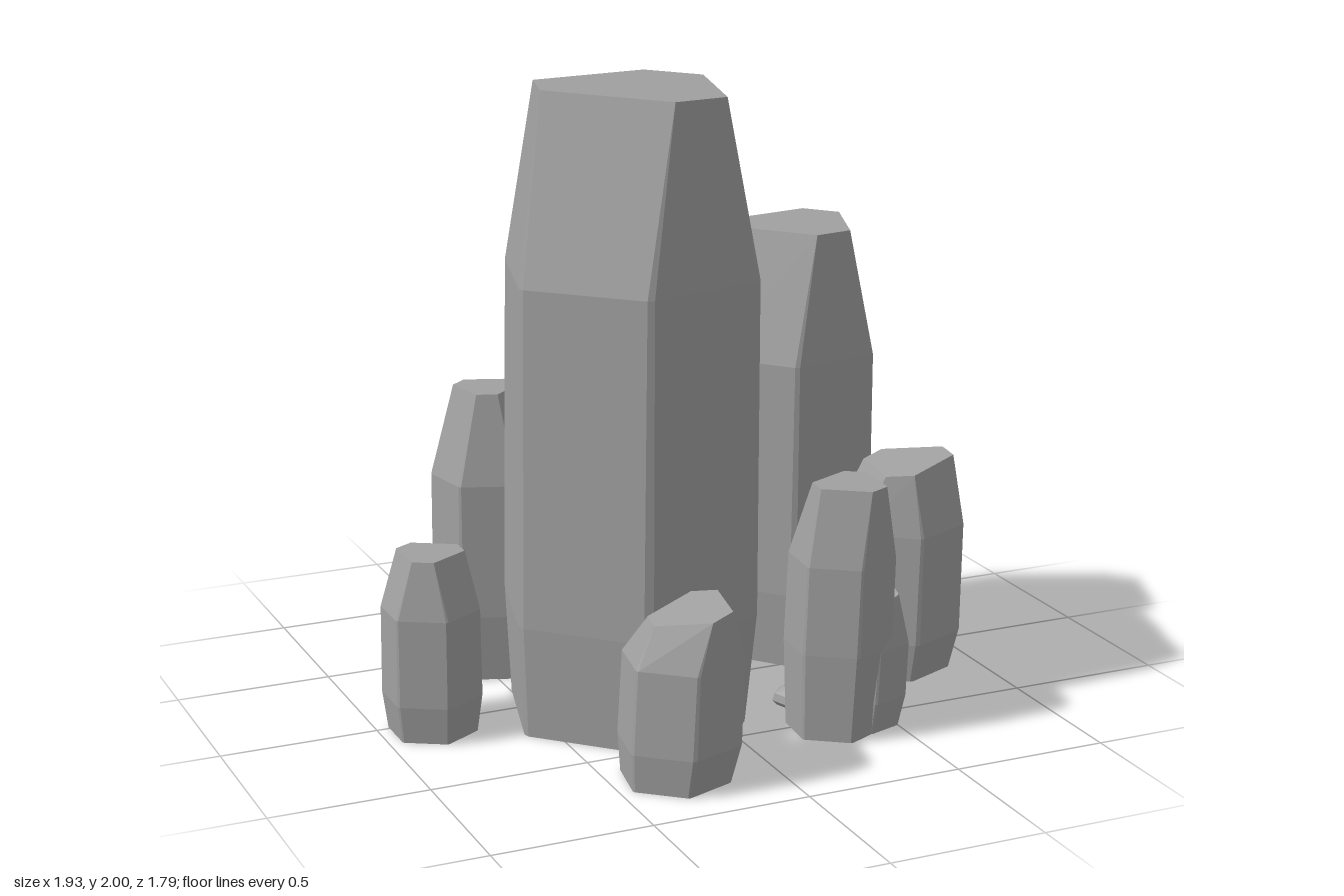
import * as THREE from 'three';

const stone = new THREE.MeshStandardMaterial({ color: 0xa0a0a0 });
stone.name = 'grey stone';

// Cuts every corner of a ring into two points, for narrow bevelled edges
function bevel(ring, amount) {
  const n = ring.length;
  return ring.flatMap((p, i) => [
    p.clone().lerp(ring[(i + n - 1) % n], amount),
    p.clone().lerp(ring[(i + 1) % n], amount),
  ]);
}

// Skins a stack of rings and closes both ends, with flat faces
function skin(rings) {
  const pos = [];
  const tri = (a, b, c) => {
    const area = b.clone().sub(a).cross(c.clone().sub(a)).length();
    if (area > 1e-8) pos.push(...a.toArray(), ...b.toArray(), ...c.toArray());
  };
  const middle = (ring) => ring.reduce((s, p) => s.add(p), new THREE.Vector3()).divideScalar(ring.length);
  const low = rings[0], high = rings[rings.length - 1];
  const lowMid = middle(low), highMid = middle(high);
  for (let i = 0; i < low.length; i++) {
    const j = (i + 1) % low.length;
    for (let k = 0; k < rings.length - 1; k++) {
      const a = rings[k][i], b = rings[k][j], c = rings[k + 1][j], d = rings[k + 1][i];
      tri(a, d, b);
      tri(d, c, b);
    }
    tri(lowMid, low[i], low[j]);
    tri(highMid, high[j], high[i]);
  }
  const geometry = new THREE.BufferGeometry();
  geometry.setAttribute('position', new THREE.Float32BufferAttribute(pos, 3));
  geometry.computeVertexNormals();
  return geometry;
}

// Six corners round a centre; skew (degrees) draws them together in pairs, slope tilts them along x
function hexagon(x, y, z, r, turn, skew = 0, slope = 0) {
  return Array.from({ length: 6 }, (_, i) => {
    const a = THREE.MathUtils.degToRad(turn + i * 60 + (i % 2 ? skew : -skew));
    const dx = Math.cos(a) * r;
    return new THREE.Vector3(x + dx, y + dx * slope, z + Math.sin(a) * r);
  });
}

// Crystal with a tapered foot, straight shaft and off-centre cut tip
function crystal({ name, x, z, r, turn, waist, shoulder, height, tip = 0.68, shiftX = 0, shiftZ = 0, slope = 0, foot = 0.89 }) {
  const mesh = new THREE.Mesh(skin([
    bevel(hexagon(x - shiftX * 0.5, 0, z, r * foot, turn), 0.03),
    bevel(hexagon(x, waist, z, r, turn), 0.04),
    bevel(hexagon(x + shiftX * 0.5, shoulder, z, r * 0.98, turn), 0.03),
    bevel(hexagon(x + shiftX, height, z + shiftZ, r * tip, turn, 12, slope), 0),
  ]), stone);
  mesh.name = name;
  return mesh;
}

// Small splinter at the foot of the cluster
function shard({ x, z, r, height, turn }) {
  const mesh = new THREE.Mesh(skin([
    hexagon(x, 0, z, r * 0.8, turn),
    hexagon(x, height * 0.25, z, r, turn),
    hexagon(x, height * 0.65, z, r * 0.9, turn),
    hexagon(x, height, z, r * 0.45, turn, 12, 0.2),
  ]), stone);
  mesh.name = 'shard';
  return mesh;
}

const crystals = [
  { name: 'tallCrystal', x: -0.2, z: 0.125, r: 0.43, turn: -15, waist: 0.36, shoulder: 1.42, height: 1.99, tip: 0.74, shiftX: 0.02, shiftZ: 0.03, slope: -0.03, foot: 0.93 },
  { name: 'backRightCrystal', x: 0.52, z: -0.24, r: 0.311, turn: -10, waist: 0.25, shoulder: 1.02, height: 1.44, shiftX: 0.015, shiftZ: 0.04, foot: 0.92 },
  { name: 'rightCrystal', x: 0.75, z: 0.12, r: 0.22, turn: 37, waist: 0.13, shoulder: 0.49, height: 0.7, shiftX: 0.02, shiftZ: 0.03, slope: 0.14 },
  { name: 'frontRightCrystal', x: 0.325, z: 0.54, r: 0.172, turn: -25, waist: 0.28, shoulder: 0.56, height: 0.8, shiftX: 0.02, shiftZ: 0.03 },
  { name: 'smallFrontRightCrystal', x: 0.425, z: 0.54, r: 0.13, turn: -18, waist: 0.1, shoulder: 0.27, height: 0.41, shiftX: 0.02, slope: 0.4 },
  { name: 'frontLeftCrystal', x: -0.285, z: 0.7, r: 0.195, turn: -20, waist: 0.12, shoulder: 0.38, height: 0.535, shiftX: 0.025, shiftZ: 0.04, slope: 0.2 },
  { name: 'leftCrystal', x: -0.835, z: 0.055, r: 0.16, turn: 30, waist: 0.12, shoulder: 0.4, height: 0.58 },
  { name: 'backLeftCrystal', x: -0.47, z: -0.4, r: 0.19, turn: 20, waist: 0.22, shoulder: 0.66, height: 0.95, tip: 0.58 },
  { name: 'backCrystal', x: 0.02, z: -0.73, r: 0.174, turn: 23, waist: 0.12, shoulder: 0.43, height: 0.635, shiftZ: 0.015 },
];

const shards = [
  { x: -0.64, z: -0.36, r: 0.065, height: 0.28, turn: 17 },
  { x: -0.53, z: -0.54, r: 0.055, height: 0.24, turn: 45 },
  { x: -0.39, z: -0.54, r: 0.045, height: 0.15, turn: 6 },
  { x: -0.29, z: -0.26, r: 0.065, height: 0.05, turn: 23 },
  { x: 0.28, z: 0.32, r: 0.065, height: 0.06, turn: 12 },
  { x: 0.41, z: 0.32, r: 0.075, height: 0.08, turn: 34 },
  { x: -0.14, z: 0.59, r: 0.055, height: 0.03, turn: 29 },
  { x: -0.11, z: -0.61, r: 0.04, height: 0.04, turn: 17 },
];

export function createModel() {
  const group = new THREE.Group();
  group.name = 'crystalCluster';
  group.add(...crystals.map(crystal), ...shards.map(shard));
  return group;
}
